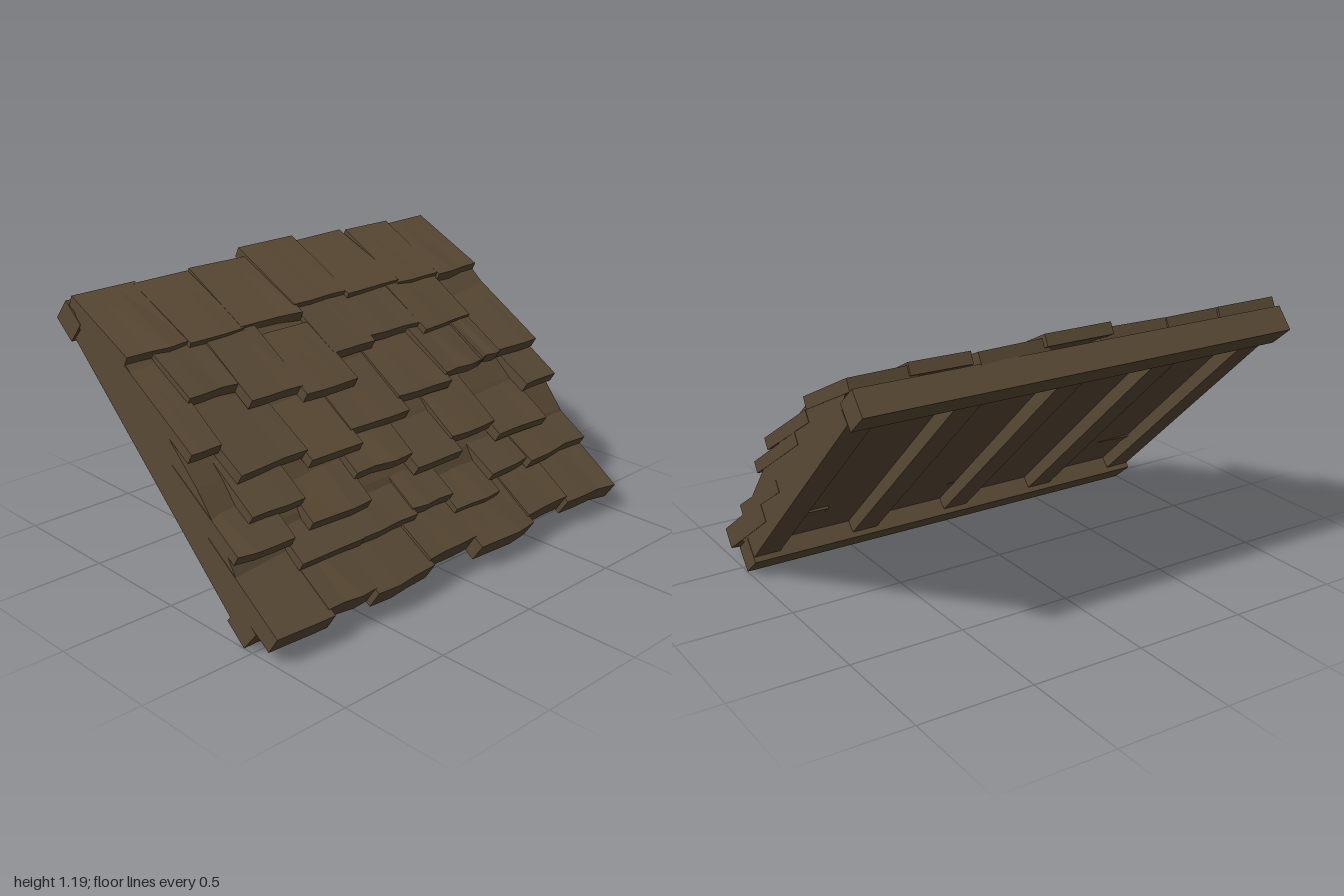
import * as THREE from 'three';

const wood = new THREE.MeshStandardMaterial({ color: 0x594934 });
wood.name = 'weathered brown wood';
wood.flatShading = true;

// Roof outline as a curve: height of a shingle's lower edge -> its x
const outline = [[1.2, -0.5], [1.0, -0.22], [0.84, 0], [0.76, 0.14], [0.66, 0.21], [0.58, 0.285], [0.44, 0.4], [0.25, 0.52], [0.1, 0.675]];
function edgeX(y) {
  const i = outline.findIndex(([height]) => y >= height);
  const [y0, x0] = outline[i - 1], [y1, x1] = outline[i];
  return x0 + (x1 - x0) * (y0 - y) / (y0 - y1);
}

// Small seeded variation for uneven shingles
let seed = 7;
function vary(amount) {
  seed = (seed * 16807) % 2147483647;
  return (seed / 2147483647 - 0.5) * 2 * amount;
}

// Courses from top to bottom: joints along z and the height of each lower edge
const courses = [
  { length: 0.4, tilt: 0.45, thick: 0.05,
    joints: [1, 0.7, 0.43, 0.12, -0.18, -0.49, -0.74, -1], heights: [0.985, 0.98, 0.985, 1.01, 1, 0.99, 0.985] },
  { length: 0.35, tilt: 0.55, thick: 0.05,
    joints: [1, 0.86, 0.62, 0.37, 0.1, -0.13, -0.43, -0.73, -1], heights: [0.7, 0.84, 0.79, 0.765, 0.845, 0.86, 0.835, 0.7] },
  { length: 0.36, tilt: 0.56, thick: 0.05,
    joints: [0.84, 0.5, 0.24, -0.08, -0.38, -0.62, -0.74], heights: [0.6, 0.57, 0.61, 0.66, 0.69, 0.7] },
  { length: 0.36, tilt: 0.58, thick: 0.05,
    joints: [0.87, 0.62, 0.32, 0.02, -0.24, -0.5, -0.8, -1], heights: [0.47, 0.385, 0.48, 0.43, 0.48, 0.43, 0.56] },
  { length: 0.34, tilt: 0.58, thick: 0.05,
    joints: [1, 0.74, 0.43, 0.12, -0.1, -0.36, -0.61, -1], heights: [0.37, 0.28, 0.28, 0.3, 0.24, 0.31, 0.3] },
  { length: 0.36, tilt: 0.59, thick: 0.09,
    joints: [1, 0.73, 0.49, 0.17, -0.11, -0.44, -0.7, -1], heights: [0.115, 0.135, 0.12, 0.145, 0.11, 0.14, 0.12] },
];

// A board hanging up-slope from its lower edge, with a chipped lower end
function shingle(length, thick, tilt, z0, z1, y) {
  const width = z0 - z1 + 0.01;
  const geo = new THREE.BoxGeometry(length, thick, width, 1, 1, 3);
  geo.translate(-length / 2, -thick / 2, 0);
  const chips = [0, 1, 2, 3].map(() => vary(0.008));
  const p = geo.attributes.position;
  for (let i = 0; i < p.count; i++) {
    if (p.getX(i) < -0.01) continue;
    const chip = chips[Math.round((p.getZ(i) / width + 0.5) * 3)];
    p.setXY(i, chip, p.getY(i) + chip / 2);
  }
  geo.rotateZ(vary(0.02) - tilt);
  geo.rotateY(vary(0.06));
  geo.translate(edgeX(y), y, (z0 + z1) / 2);
  // keep the outer shingles flush with the roof's ends
  for (let i = 0; i < p.count; i++) {
    const z = p.getZ(i);
    if (Math.abs(z) > 0.96) p.setZ(i, Math.sign(z));
  }
  geo.computeVertexNormals();
  const mesh = new THREE.Mesh(geo, wood);
  mesh.name = 'shingle';
  return mesh;
}

// Straight timber, turned to follow the slope
function timber(name, size, position, angle) {
  const mesh = new THREE.Mesh(new THREE.BoxGeometry(...size), wood);
  mesh.name = name;
  mesh.position.set(...position);
  mesh.rotation.z = angle;
  return mesh;
}

// Sloping core under the shingles
function roofDeck() {
  const profile = new THREE.Shape([
    [-0.517, 1.02], [0.408, 0.14], [0.5, 0.13], [0.46, 0.2], [0.34, 0.4],
    [0.2, 0.57], [-0.06, 0.82], [-0.24, 0.97], [-0.555, 1.105],
  ].map(([x, y]) => new THREE.Vector2(x, y)));
  const geo = new THREE.ExtrudeGeometry(profile, { depth: 1.996, bevelEnabled: false });
  geo.translate(0, 0, -0.998);
  const mesh = new THREE.Mesh(geo, wood);
  mesh.name = 'roofDeck';
  return mesh;
}

export function createModel() {
  const roof = new THREE.Group();
  roof.name = 'shingledRoof';
  roof.add(
    roofDeck(),
    timber('ridgeBeam', [0.124, 0.113, 2], [-0.595, 1.043, 0], -0.7),
    timber('eaveBeam', [0.124, 0.113, 2], [0.44, 0.083, 0], -0.7),
  );

  // Rafters along the underside
  for (let i = -2; i <= 2; i++) {
    roof.add(timber('rafter', [1.28, 0.07, 0.12], [-0.07, 0.565, i * 0.469], -0.758));
  }

  // Overlapping shingle courses; below the ridge the outer shingles run longer
  courses.forEach(({ length, thick, tilt, joints, heights }, c) => {
    const row = new THREE.Group();
    row.name = `shingleCourse${c + 1}`;
    heights.forEach((y, i) => {
      const outer = c > 0 && (i === 0 || i === heights.length - 1);
      row.add(shingle(length + (outer ? 0.12 : 0), thick, tilt, joints[i], joints[i + 1], y));
    });
    roof.add(row);
  });
  return roof;
}
